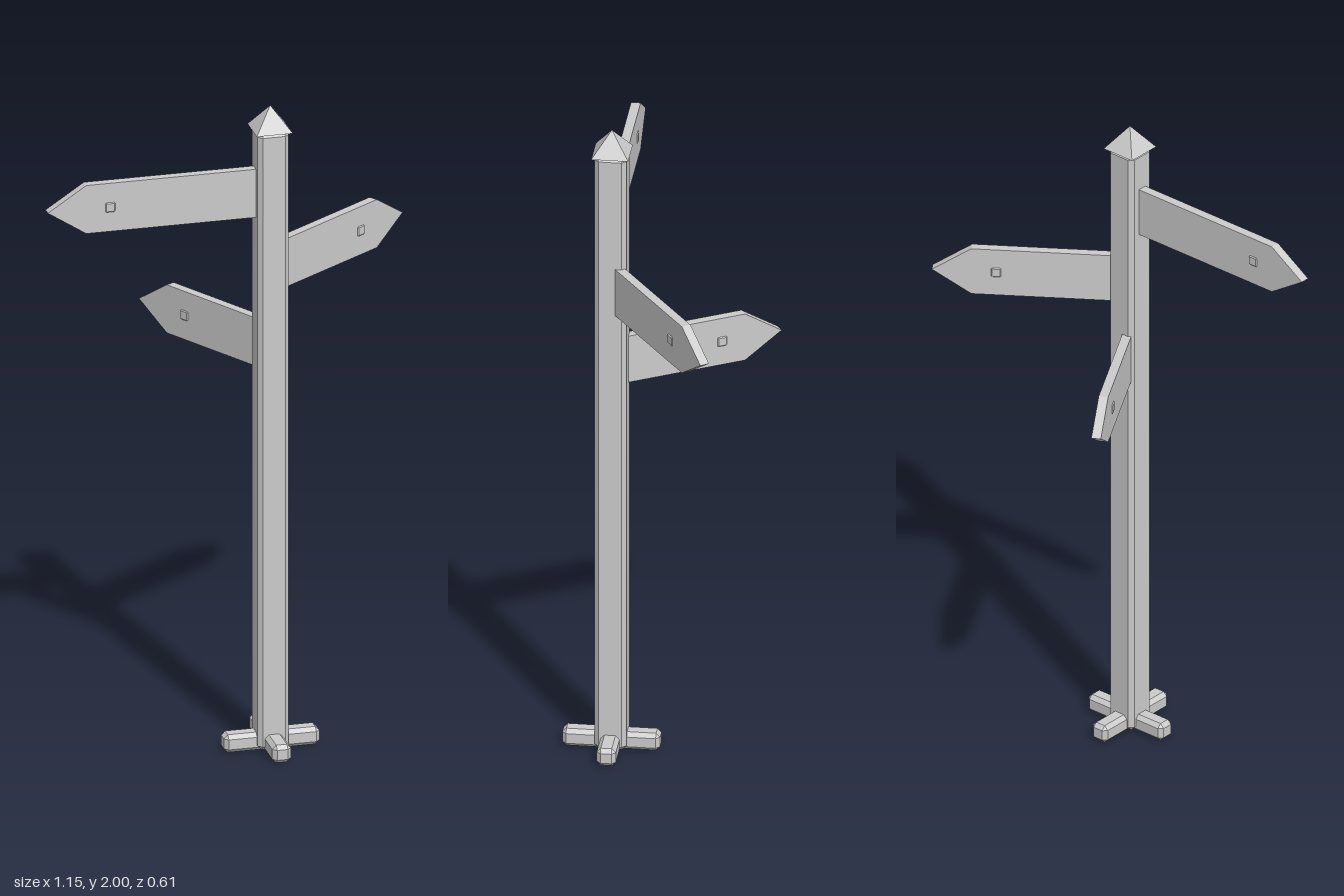
import * as THREE from 'three';
import { ConvexGeometry } from 'three/addons/geometries/ConvexGeometry.js';

const mat = new THREE.MeshStandardMaterial({ color: 0xcccccc, flatShading: true });

// Box with every edge and corner chamfered by b
function chamferBox(w, h, d, b) {
  const half = [w / 2, h / 2, d / 2];
  const pts = [];
  for (let axis = 0; axis < 3; axis++)
    for (const sx of [-1, 1]) for (const sy of [-1, 1]) for (const sz of [-1, 1]) {
      const p = [sx, sy, sz].map((s, i) => s * (half[i] - (i === axis ? 0 : b)));
      pts.push(new THREE.Vector3(...p));
    }
  return new ConvexGeometry(pts);
}

function addMesh(parent, name, geometry, x, y, z) {
  const mesh = new THREE.Mesh(geometry, mat);
  mesh.name = name;
  mesh.position.set(x, y, z);
  parent.add(mesh);
  return mesh;
}

// Pointed board running out along +x, with a square bolt through it
function makeSign(name, length, y, degrees) {
  const sign = new THREE.Group();
  sign.name = name;
  const h = 0.075, t = 0.028, point = 0.115;
  const outline = new THREE.Shape([
    [0, -h], [length - point, -h], [length, 0], [length - point, h], [0, h],
  ].map(([px, py]) => new THREE.Vector2(px, py)));
  const board = new THREE.ExtrudeGeometry(outline, { depth: t, bevelEnabled: false });
  addMesh(sign, 'board', board, 0, 0, -t / 2);
  addMesh(sign, 'bolt', chamferBox(0.03, 0.03, 0.034, 0.003), length - 0.187, 0, 0);
  sign.position.y = y;
  sign.rotation.y = THREE.MathUtils.degToRad(degrees);
  return sign;
}

export function createModel() {
  const model = new THREE.Group();
  model.name = 'signpost';

  // Crossed feet
  for (const turn of [0, 1]) {
    const foot = addMesh(model, 'foot', chamferBox(0.286, 0.055, 0.056, 0.012), 0, 0.0275, 0);
    foot.rotation.y = turn * Math.PI / 2;
  }

  // Post and pyramid cap
  addMesh(model, 'post', chamferBox(0.093, 1.925, 0.093, 0.013), 0, 0.9675, 0);
  const cap = new THREE.ConeGeometry(0.108 / Math.SQRT2, 0.073, 4);
  addMesh(model, 'cap', cap, 0, 1.9635, 0).rotation.y = Math.PI / 4;

  // Direction boards
  model.add(
    makeSign('topSign', 0.67, 1.735, 180),
    makeSign('middleSign', 0.576, 1.495, 35),
    makeSign('lowerSign', 0.528, 1.252, 120),
  );

  // The post stands off centre, as the boards reach unevenly
  model.position.set(0.095, 0, 0.16);
  const root = new THREE.Group();
  root.add(model);
  return root;
}
